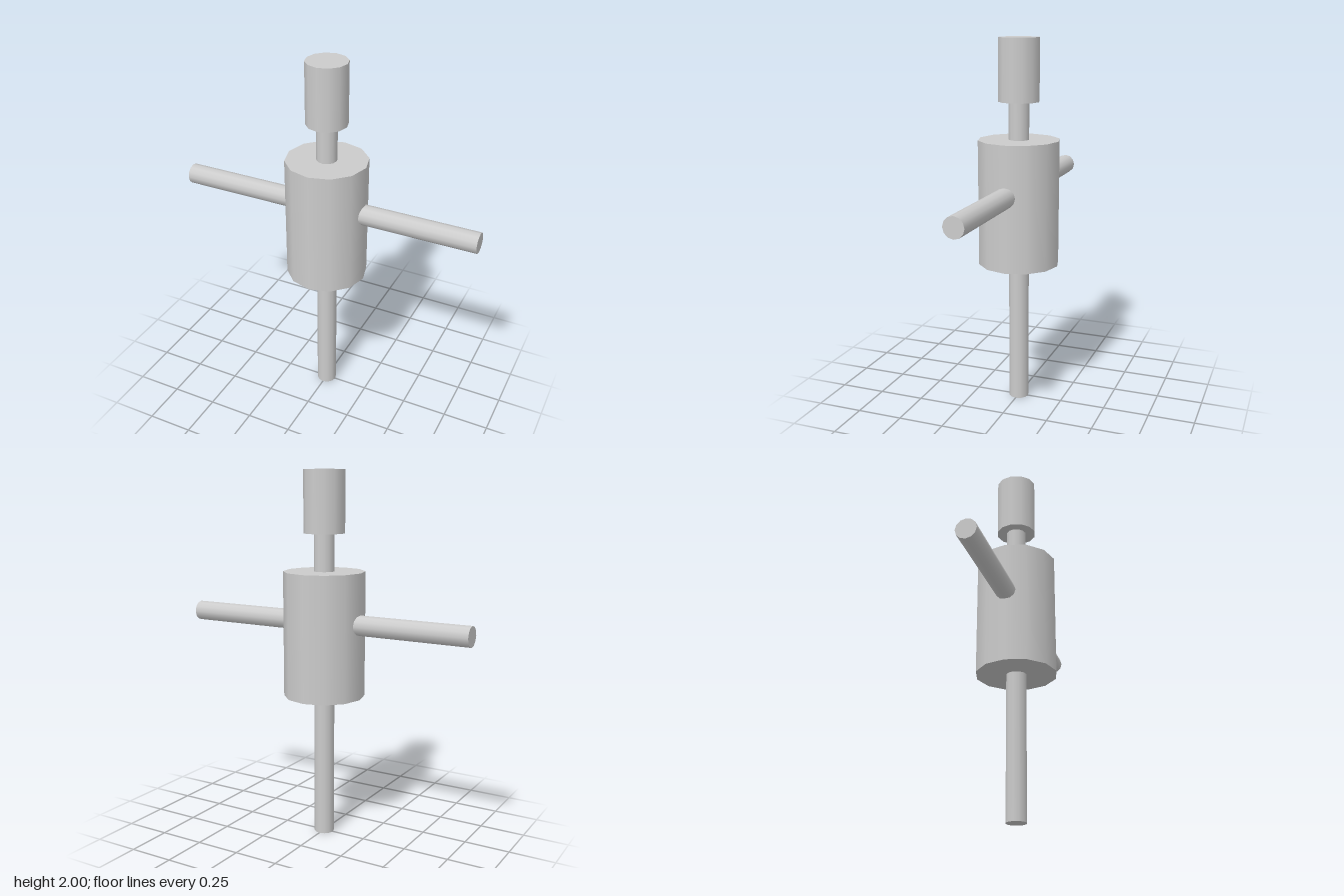
import * as THREE from 'three';

const material = new THREE.MeshStandardMaterial({ color: 0xcccccc });
const SIDES = 12;

// Upright capped cylinder spanning y0 to y1
function post(name, radius, y0, y1) {
  const mesh = new THREE.Mesh(new THREE.CylinderGeometry(radius, radius, y1 - y0, SIDES), material);
  mesh.name = name;
  mesh.position.y = (y0 + y1) / 2;
  return mesh;
}

export function createModel() {
  const model = new THREE.Group();
  model.name = 'crossHandledTool';

  // Central shaft, body and top cap
  model.add(
    post('lowerShaft', 0.055, 0, 0.8),
    post('body', 0.22, 0.79, 1.47),
    post('neck', 0.055, 1.46, 1.68),
    post('topCap', 0.11, 1.67, 2)
  );

  // Side handles, starting inside the body
  for (const side of [1, -1]) {
    const handle = post(side > 0 ? 'leftHandle' : 'rightHandle', 0.055, 0, 0.68);
    handle.rotation.z = -side * Math.PI / 2;
    handle.position.set(side * 0.5, 1.195, 0);
    model.add(handle);
  }
  return model;
}
